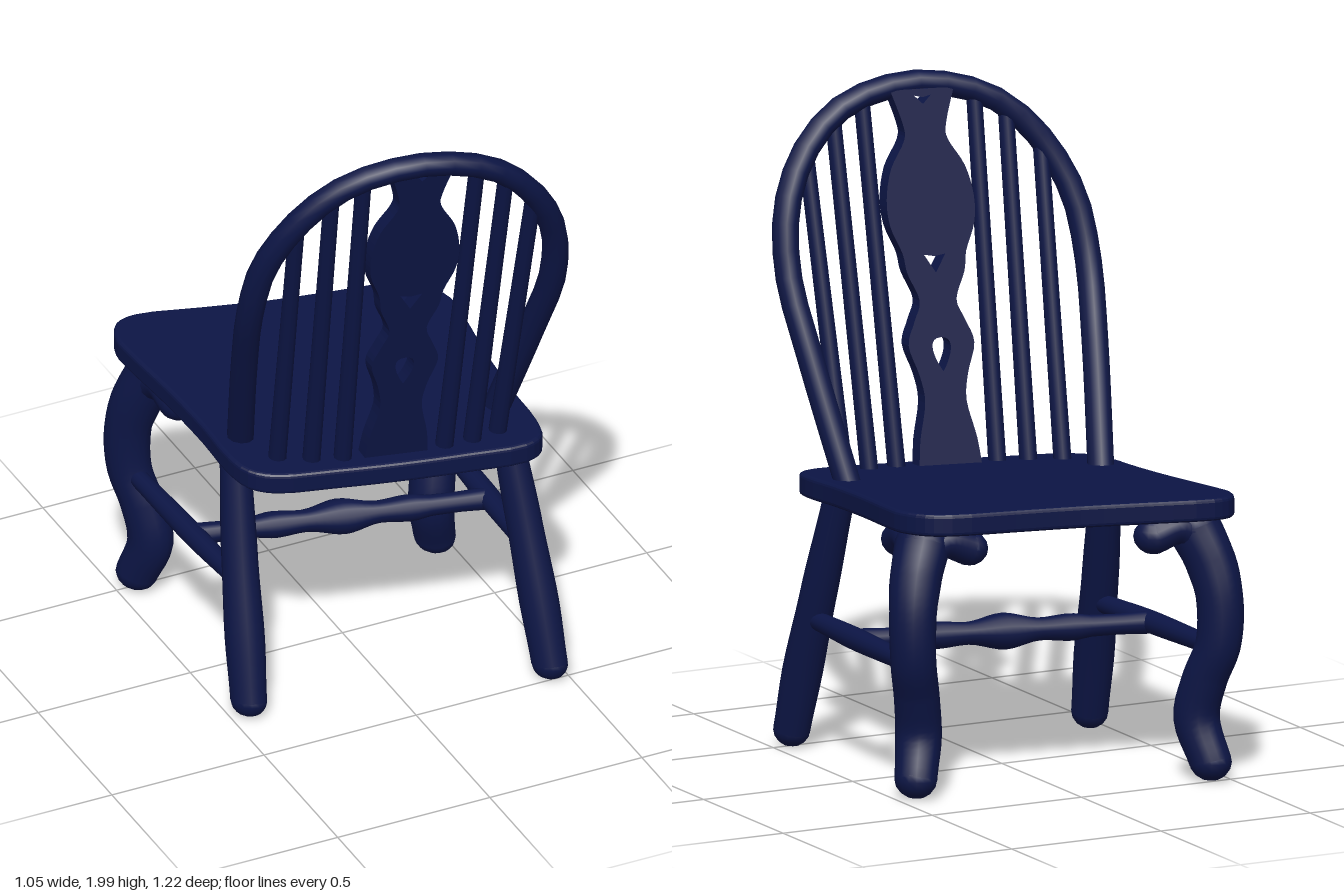
import * as THREE from 'three';
import { mergeGeometries } from 'three/addons/utils/BufferGeometryUtils.js';

const material = new THREE.MeshStandardMaterial({ color: 0x0c1545, side: THREE.DoubleSide });
const V = (x, y, z) => new THREE.Vector3(x, y, z);

// The chair is symmetric in x, then skewed so that depth grows with x.
const skew = new THREE.Matrix4().set(1, 0, 0, 0, 0, 1, 0, 0, 0.23, 0, 1, 0, 0, 0, 0, 1);

// Round rod along points [x, y, z, radius], with optional ball ends.
function rod(points, segments = 16, sides = 14, balls = true) {
  const curve = new THREE.CatmullRomCurve3(points.map(p => V(p[0], p[1], p[2])), false, 'centripetal');
  const geo = new THREE.TubeGeometry(curve, segments, 1, sides);
  const pos = geo.attributes.position;
  const v = V(0, 0, 0);
  for (let i = 0; i <= segments; i++) {
    const c = curve.getPointAt(i / segments);
    const f = curve.getUtoTmapping(i / segments) * (points.length - 1);
    const k = Math.min(Math.floor(f), points.length - 2);
    const r = THREE.MathUtils.lerp(points[k][3], points[k + 1][3], THREE.MathUtils.smoothstep(f - k, 0, 1));
    for (let j = 0; j <= sides; j++) {
      const n = i * (sides + 1) + j;
      v.fromBufferAttribute(pos, n).sub(c).multiplyScalar(r).add(c);
      pos.setXYZ(n, v.x, v.y, v.z);
    }
  }
  if (!balls) return geo;
  const ends = [points[0], points[points.length - 1]].map(
    p => new THREE.SphereGeometry(p[3], sides, 8).translate(p[0], p[1], p[2]));
  return mergeGeometries([geo, ...ends]);
}

export function createModel() {
  const chair = new THREE.Group();
  chair.name = 'chair';
  const add = (name, geo) => {
    const mesh = new THREE.Mesh(geo.applyMatrix4(skew), material);
    mesh.name = name;
    chair.add(mesh);
  };
  // Adds a rod on both sides of the chair.
  const addPair = (name, points, ...opts) => {
    add(name + 'Left', rod(points, ...opts));
    add(name + 'Right', rod(points.map(([x, y, z, r]) => [-x, y, z, r]), ...opts));
  };

  // Seat: waisted slab with rounded corners, sloping down to the back
  const half = [[0.2, -0.497], [0.39, -0.503], [0.45, -0.475], [0.484, -0.4], [0.482, -0.32], [0.458, -0.1],
    [0.446, 0.1], [0.445, 0.27], [0.425, 0.35], [0.37, 0.388], [0.2, 0.4]];
  const outline = [[0, -0.49], ...half, [0, 0.405], ...half.slice().reverse().map(([x, z]) => [-x, z])];
  const seatCurve = new THREE.CatmullRomCurve3(outline.map(([x, z]) => V(x, -z, 0)), true, 'centripetal');
  const seatShape = new THREE.Shape(seatCurve.getPoints(72).slice(0, -1).map(p => new THREE.Vector2(p.x, p.y)));
  const seat = new THREE.ExtrudeGeometry(seatShape,
    { depth: 0.044, bevelEnabled: true, bevelSize: 0.012, bevelThickness: 0.012, bevelSegments: 3 });
  seat.rotateX(-Math.PI / 2).translate(0, 0.807, 0);
  seat.applyMatrix4(new THREE.Matrix4().set(1, 0, 0, 0, 0, 1, -0.05, 0, 0, 0, 1, 0, 0, 0, 0, 1));
  add('seat', seat);

  // Hoop of the backrest
  const R = 0.037;
  const side = [[0.375, 0.82, 0.165, R], [0.425, 1.2, 0.31, R], [0.447, 1.43, 0.4, R], [0.43, 1.61, 0.45, R],
    [0.372, 1.75, 0.49, R], [0.29, 1.855, 0.515, R], [0.185, 1.925, 0.53, R]];
  const hoop = [...side, [0, 1.963, 0.54, R], ...side.slice().reverse().map(([x, y, z, r]) => [-x, y, z, r])];
  add('backHoop', rod(hoop, 36, 10, false));

  // Spindles
  [[0.325, 0.3, 0.35, 1.78, 0.495], [0.237, 0.33, 0.258, 1.88, 0.52], [0.15, 0.342, 0.168, 1.93, 0.53]]
    .forEach(([x0, z0, x1, y1, z1], i) =>
      addPair('spindle' + (i + 1), [[x0, 0.82, z0, 0.025], [x1, y1, z1, 0.022]], 4, 10, false));

  // Pierced centre splat, leaning back
  const edge = [[0.095, 0.82], [0.085, 0.92], [0.062, 1.03], [0.072, 1.11], [0.098, 1.2], [0.075, 1.27],
    [0.055, 1.33], [0.085, 1.41], [0.095, 1.47], [0.125, 1.55], [0.13, 1.63], [0.11, 1.72], [0.065, 1.8],
    [0.065, 1.85], [0.095, 1.95]];
  const right = new THREE.SplineCurve(edge.map(([x, y]) => new THREE.Vector2(x, y))).getPoints(56);
  const splat = new THREE.Shape([...right, ...right.slice().reverse().map(p => new THREE.Vector2(-p.x, p.y))]);
  const drop = new THREE.Path();
  drop.moveTo(0, 1.12);
  drop.bezierCurveTo(0.02, 1.15, 0.05, 1.22, 0, 1.22);
  drop.bezierCurveTo(-0.05, 1.22, -0.02, 1.15, 0, 1.12);
  const notch = (y0, y1, w) => new THREE.Path(
    [[0, y0], [w, y1 - 0.006], [0, y1 - 0.012], [-w, y1 - 0.006]].map(([x, y]) => new THREE.Vector2(x, y)));
  splat.holes.push(drop, notch(1.41, 1.47, 0.032), notch(1.905, 1.937, 0.025));
  const splatGeo = new THREE.ExtrudeGeometry(splat, { depth: 0.045, bevelEnabled: false, curveSegments: 10 });
  const lean = 0.165;
  splatGeo.applyMatrix4(new THREE.Matrix4().set(1, 0, 0, 0, 0, 1, 0, 0, 0, lean, 1, 0.32 - lean * 0.84, 0, 0, 0, 1));
  add('splat', splatGeo);

  // Rear legs, raked and splayed
  addPair('rearLeg', [[0.445, 0.055, 0.385, 0.05], [0.435, 0.25, 0.335, 0.055], [0.42, 0.5, 0.265, 0.05],
    [0.398, 0.8, 0.185, 0.043]]);

  // Curved front legs with brackets under the seat
  addPair('frontLeg', [[0.44, 0.062, -0.385, 0.058], [0.415, 0.19, -0.35, 0.063], [0.43, 0.31, -0.37, 0.062],
    [0.455, 0.42, -0.402, 0.062], [0.458, 0.56, -0.405, 0.064], [0.44, 0.67, -0.385, 0.07],
    [0.405, 0.77, -0.355, 0.075]], 28, 16);
  addPair('sideBracket', [[0.42, 0.73, -0.37, 0.05], [0.35, 0.775, -0.37, 0.05], [0.275, 0.752, -0.37, 0.053]], 10);
  addPair('rearBracket', [[0.42, 0.73, -0.36, 0.05], [0.41, 0.775, -0.28, 0.05], [0.4, 0.752, -0.205, 0.053]], 10);

  // Stretchers: one per side and a turned one between them
  addPair('sideStretcher', [[0.425, 0.41, 0.29, 0.028], [0.438, 0.41, -0.01, 0.034], [0.45, 0.41, -0.4, 0.028]], 12);
  const turned = [[-0.43, 0.034], [-0.34, 0.031], [-0.27, 0.032], [-0.2, 0.041], [-0.11, 0.034], [0, 0.055],
    [0.11, 0.034], [0.2, 0.041], [0.27, 0.032], [0.34, 0.031], [0.43, 0.034]];
  add('crossStretcher', rod(turned.map(([x, r]) => [x, 0.408, -0.01, r]), 40));

  return chair;
}
